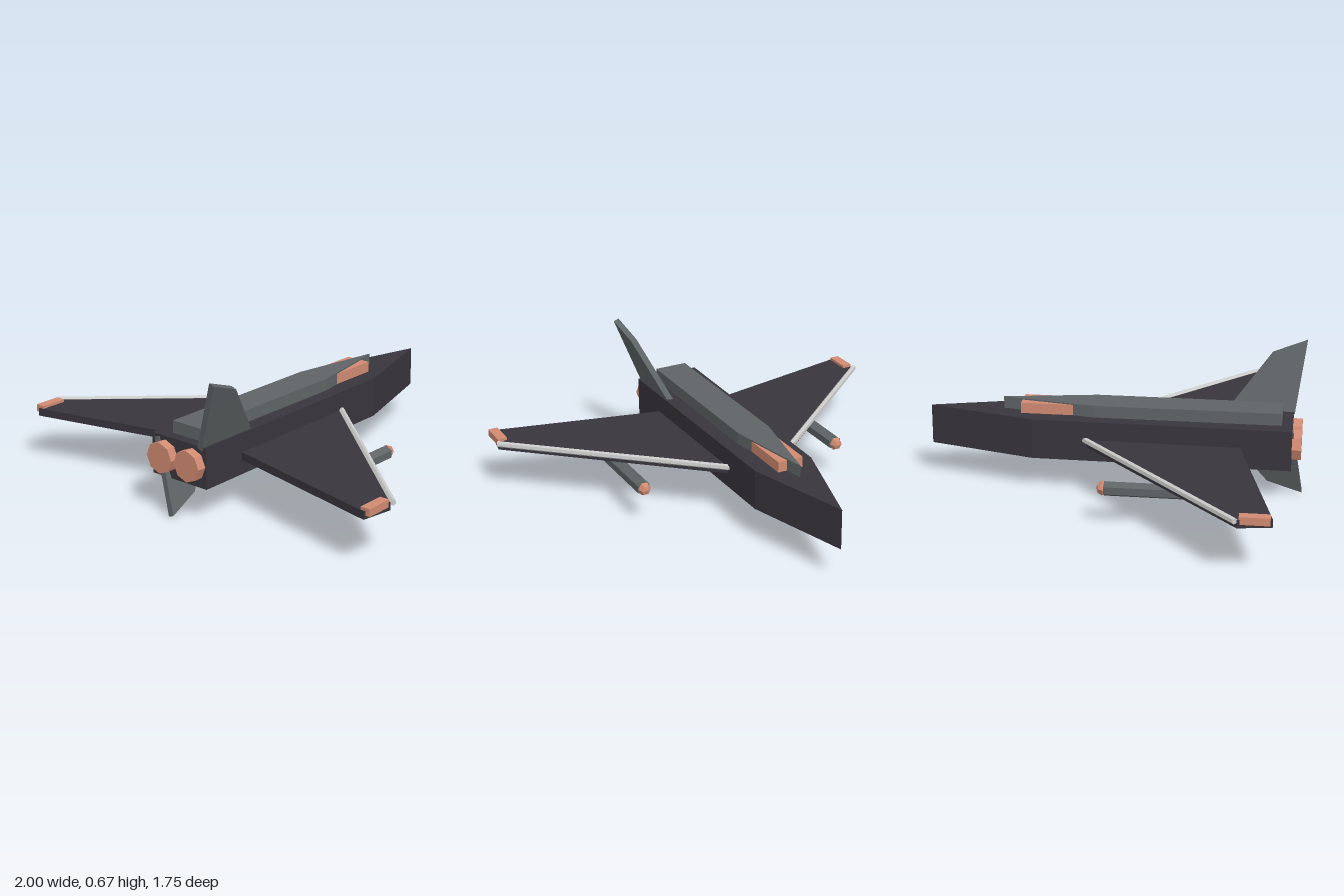
import * as THREE from 'three';

const mat = (name, color) => {
  const m = new THREE.MeshStandardMaterial({ color });
  m.name = name;
  return m;
};

export function createModel() {
  const dark = mat('charcoal', 0x38353d);
  const grey = mat('slate grey', 0x5f6466);
  const light = mat('pale grey', 0xcacac8);
  const copper = mat('copper', 0xd18b72);
  const group = new THREE.Group();

  const add = (name, geometry, material, x = 0, y = 0, z = 0) => {
    // split faces so every facet stays crisp
    const flat = geometry.index ? geometry.toNonIndexed() : geometry;
    flat.computeVertexNormals();
    const mesh = new THREE.Mesh(flat, material);
    mesh.name = name;
    mesh.position.set(x, y, z);
    group.add(mesh);
    return mesh;
  };

  const extrude = (points, depth) => new THREE.ExtrudeGeometry(
    new THREE.Shape(points.map(([a, b]) => new THREE.Vector2(a, b))),
    { depth, bevelEnabled: false });

  // Horizontal slab from an (x, z) outline between two heights
  const slab = (points, bottom, top) =>
    extrude(points, top - bottom).rotateX(Math.PI / 2).translate(0, top, 0);

  // Fuselage with wedge nose, and the raised spine
  add('fuselage', slab([[0, -0.875], [0.145, -0.37], [0.158, 0.829],
    [-0.158, 0.829], [-0.145, -0.37]], 0.165, 0.355), dark);
  add('spine', slab([[0, -0.525], [0.08, -0.09], [0.08, 0.78],
    [-0.08, 0.78], [-0.08, -0.09]], 0.35, 0.412), grey);
  add('canopy', new THREE.BoxGeometry(0.124, 0.055, 0.262), copper, 0, 0.378, -0.303);

  for (const s of [1, -1]) {
    const side = s > 0 ? 'left' : 'right';

    // Swept wing
    add(side + 'Wing', slab([[0.1, -0.155], [0.985, 0.63], [0.96, 0.776], [0.1, 0.583]]
      .map(([x, z]) => [x * s, z]), 0.231, 0.267), dark);

    // Leading edge rod
    const a = new THREE.Vector3(0.12 * s, 0.264, -0.14);
    const b = new THREE.Vector3(0.99 * s, 0.264, 0.622);
    const rod = add(side + 'LeadingEdge',
      new THREE.CylinderGeometry(0.0145, 0.0145, a.distanceTo(b), 6), light);
    rod.position.copy(a).lerp(b, 0.5);
    rod.quaternion.setFromUnitVectors(new THREE.Vector3(0, 1, 0), b.clone().sub(a).normalize());

    // Wing tip block
    add(side + 'WingTip', new THREE.BoxGeometry(0.046, 0.034, 0.13), copper,
      0.96 * s, 0.263, 0.702);

    // Underwing pod with faceted nose
    add(side + 'Pod', new THREE.CylinderGeometry(0.034, 0.034, 0.415, 6).rotateX(Math.PI / 2),
      grey, 0.512 * s, 0.182, 0.227);
    add(side + 'PodNose', new THREE.SphereGeometry(0.034, 6, 4).rotateX(Math.PI / 2)
      .scale(0.9, 1, 0.8), copper, 0.512 * s, 0.184, 0.012);

    // Engine nozzle
    add(side + 'Nozzle', new THREE.CylinderGeometry(0.073, 0.073, 0.12, 8).rotateX(Math.PI / 2),
      copper, 0.08 * s, 0.265, 0.812);
  }

  // Two tail fins, one canted up and one canted down
  const fin = () => extrude([[0.51, 0], [0.833, 0], [0.88, 0.35], [0.72, 0.288]], 0.028)
    .rotateY(-Math.PI / 2).translate(0.014, 0, 0);
  add('upperFin', fin(), grey, 0.126, 0.342, 0).rotation.z = THREE.MathUtils.degToRad(-20);
  add('lowerFin', fin(), grey, -0.128, 0.342, 0).rotation.z = THREE.MathUtils.degToRad(-160);

  return group;
}
